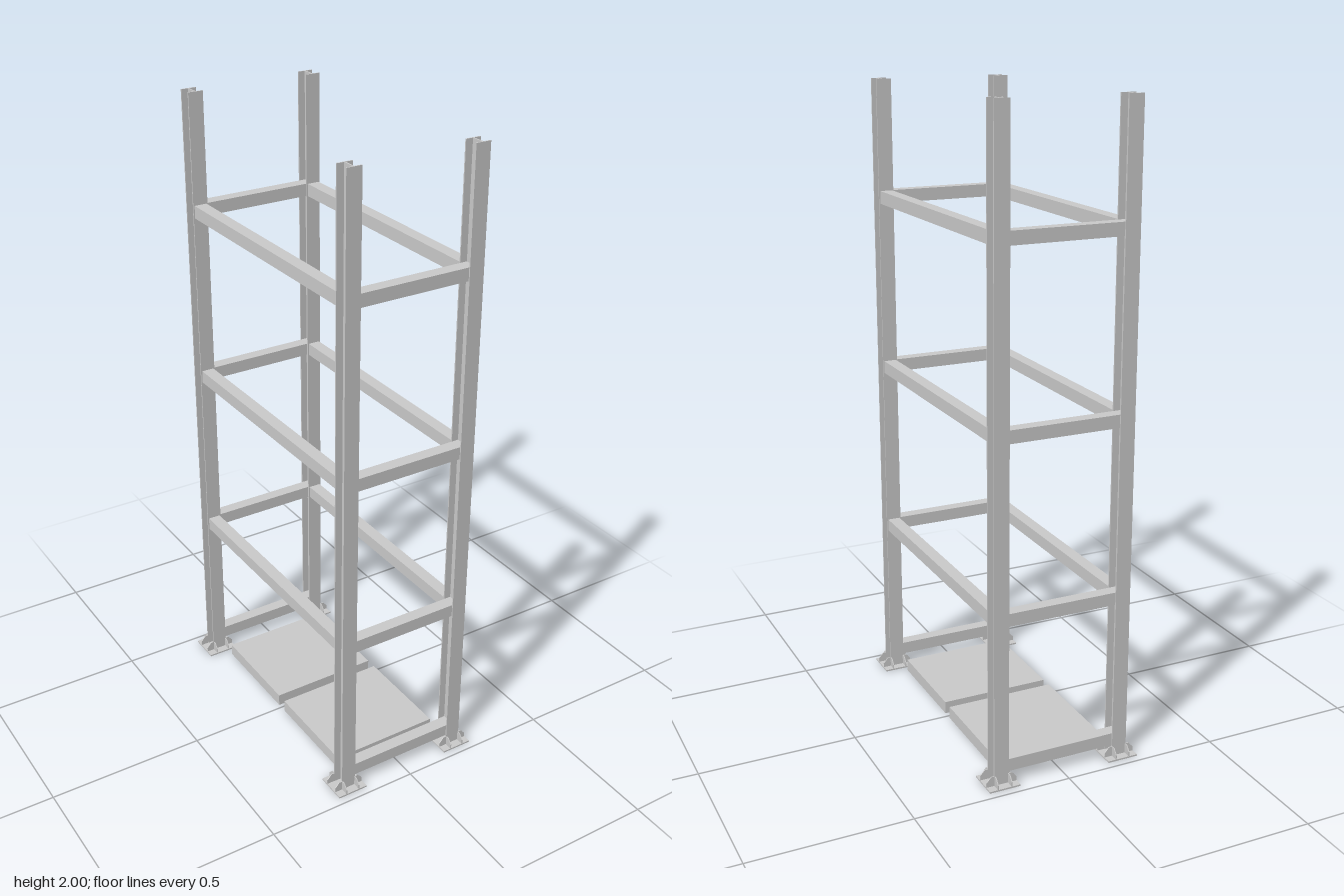
import * as THREE from 'three';

const material = new THREE.MeshStandardMaterial({ color: 0xcccccc, flatShading: true });

function box(parent, name, size, position) {
  const mesh = new THREE.Mesh(new THREE.BoxGeometry(...size), material);
  mesh.name = name;
  mesh.position.set(...position);
  parent.add(mesh);
  return mesh;
}

// Upright I-section, flanges facing front and back
function iBeam(height, half, t) {
  const w = t / 2, f = half - t;
  const pts = [
    [-half, -half], [half, -half], [half, -f], [w, -f], [w, f], [half, f],
    [half, half], [-half, half], [-half, f], [-w, f], [-w, -f], [-half, -f],
  ].map(([x, y]) => new THREE.Vector2(x, y));
  const geometry = new THREE.ExtrudeGeometry(new THREE.Shape(pts), { depth: height, bevelEnabled: false });
  return geometry.rotateX(-Math.PI / 2);
}

// Chamfered stiffener standing on the foot plate, running out along +x
function gussetGeometry(length, height, t) {
  const s = new THREE.Shape();
  s.moveTo(0, 0);
  s.lineTo(length, 0);
  s.lineTo(length, height * 0.45);
  s.lineTo(length * 0.4, height);
  s.lineTo(0, height);
  s.closePath();
  return new THREE.ExtrudeGeometry(s, { depth: t, bevelEnabled: false }).translate(0, 0, -t / 2);
}

export function createModel() {
  const model = new THREE.Group();
  model.name = 'rackFrame';
  const postX = 0.2, postZ = 0.425, half = 0.024, t = 0.004, plate = 0.005;
  const postGeometry = iBeam(2 - plate, half, t);
  const gusset = gussetGeometry(0.025, 0.031, 0.003);

  // Four posts with foot plates and gussets
  for (const sx of [-1, 1]) for (const sz of [-1, 1]) {
    const corner = new THREE.Group();
    corner.name = 'cornerPost';
    corner.position.set(sx * postX, 0, sz * postZ);
    model.add(corner);
    const post = new THREE.Mesh(postGeometry, material);
    post.name = 'post';
    post.position.y = plate;
    corner.add(post);
    box(corner, 'footPlate', [0.1, plate, 0.1], [0, plate / 2, 0]);
    for (let side = 0; side < 4; side++) {
      const arm = new THREE.Group();
      arm.name = 'gussetPair';
      arm.rotation.y = side * Math.PI / 2;
      corner.add(arm);
      for (const s of [-1, 1]) {
        const g = new THREE.Mesh(gusset, material);
        g.name = 'gusset';
        g.position.set(half, plate, s * (half - 0.0015));
        arm.add(g);
      }
    }
  }

  // Cross beams between left and right posts, and side rails above the floor
  [0.06, 0.53, 1.083, 1.636].forEach((y, level) => {
    for (const s of [-1, 1]) {
      box(model, 'crossBeam', [0.4, 0.04, 0.04], [0, y, s * postZ]);
      if (level > 0) box(model, 'sideRail', [0.04, 0.04, 0.804], [s * postX, y, 0]);
    }
  });

  // Two floor slabs with a gap between them
  for (const z of [-0.181, 0.187]) box(model, 'floorSlab', [0.36, 0.04, 0.333], [0, 0.02, z]);

  return model;
}
